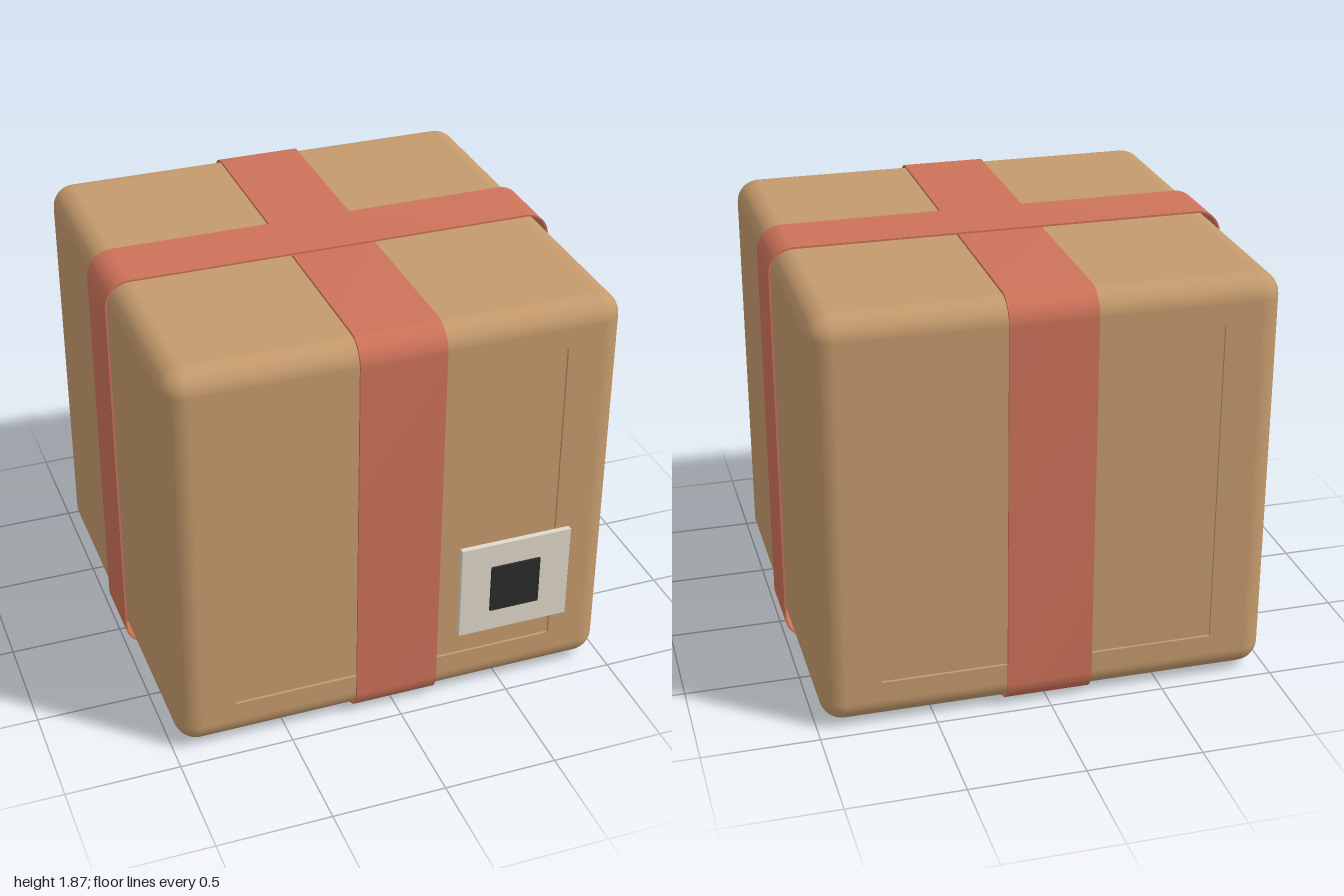
import * as THREE from 'three';
import { RoundedBoxGeometry } from 'three/addons/geometries/RoundedBoxGeometry.js';
import { toCreasedNormals } from 'three/addons/utils/BufferGeometryUtils.js';

const W = 1.956, H = 1.825, D = 1.89, R = 0.1; // carton size and edge radius
const CY = 0.9325, CZ = -0.016;                // carton centre

const material = (color) => new THREE.MeshStandardMaterial({ color });

function add(parent, name, geometry, mat, x = 0, y = 0, z = 0) {
  const mesh = new THREE.Mesh(geometry, mat);
  mesh.name = name;
  mesh.position.set(x, y, z);
  parent.add(mesh);
  return mesh;
}

// Rectangle outline with rounded corners, centred on the origin
function roundedRect(path, w, h, r) {
  const x = w / 2 - r, y = h / 2 - r;
  path.absarc(x, y, r, 0, Math.PI / 2);
  path.absarc(-x, y, r, Math.PI / 2, Math.PI);
  path.absarc(-x, -y, r, Math.PI, Math.PI * 1.5);
  path.absarc(x, -y, r, Math.PI * 1.5, Math.PI * 2);
  path.closePath();
  return path;
}

function rect(path, w, h) {
  path.moveTo(-w / 2, -h / 2);
  path.lineTo(w / 2, -h / 2);
  path.lineTo(w / 2, h / 2);
  path.lineTo(-w / 2, h / 2);
  path.closePath();
  return path;
}

// Rounded box with the flat middles of its front and back left open
function cartonShell() {
  const source = new RoundedBoxGeometry(W, H, D, 6, R).toNonIndexed();
  const pos = source.attributes.position, nor = source.attributes.normal;
  const p = [], n = [], t = new THREE.Triangle();
  for (let i = 0; i < pos.count; i += 3) {
    t.setFromAttributeAndIndices(pos, i, i + 1, i + 2);
    const onEnd = [t.a, t.b, t.c].every((v) => Math.abs(v.z) > D / 2 - 1e-4);
    if (onEnd && t.getArea() > 0.5) continue;
    for (let k = i; k < i + 3; k++) {
      p.push(pos.getX(k), pos.getY(k), pos.getZ(k));
      n.push(nor.getX(k), nor.getY(k), nor.getZ(k));
    }
  }
  const g = new THREE.BufferGeometry();
  g.setAttribute('position', new THREE.Float32BufferAttribute(p, 3));
  g.setAttribute('normal', new THREE.Float32BufferAttribute(n, 3));
  return g;
}

// Closed band of given outer size, running round in the XY plane
function strapGeometry(w, h, width, thickness) {
  const shape = roundedRect(new THREE.Shape(), w, h, 0.11);
  const inner = w - 2 * thickness;
  shape.holes.push(roundedRect(new THREE.Path(), inner, h - 2 * thickness, 0.11 - thickness));
  const g = new THREE.ExtrudeGeometry(shape, { depth: width, bevelEnabled: false, curveSegments: 10 });
  g.translate(0, 0, -width / 2);
  return toCreasedNormals(g, 0.6);
}

export function createModel() {
  const model = new THREE.Group();
  model.name = 'parcel';
  const card = material(0xc49a6c);
  const red = material(0xcd7259);

  // Carton with a shallow recessed panel on front and back
  const carton = new THREE.Group();
  carton.name = 'carton';
  carton.position.set(0, CY, CZ);
  model.add(carton);
  add(carton, 'cartonShell', cartonShell(), card);
  const depth = 0.012;
  const frame = rect(new THREE.Shape(), W - 2 * R, H - 2 * R);
  frame.holes.push(rect(new THREE.Path(), 1.45, 1.45));
  const frameGeometry = new THREE.ExtrudeGeometry(frame, { depth, bevelEnabled: false });
  for (const [side, turn] of [['front', 0], ['back', Math.PI]]) {
    const end = new THREE.Group();
    end.name = side + 'End';
    end.rotation.y = turn;
    carton.add(end);
    add(end, side + 'Frame', frameGeometry, card, 0, 0, D / 2 - depth);
    add(end, side + 'Panel', new THREE.PlaneGeometry(1.45, 1.45), card, 0, 0, D / 2 - depth);
  }

  // Crossing straps
  add(model, 'sideToSideStrap', strapGeometry(2, 1.865, 0.3, 0.008), red, 0, CY, CZ);
  const lengthwise = strapGeometry(1.917, 1.849, 0.37, 0.01);
  add(model, 'frontToBackStrap', lengthwise, red, 0, CY, CZ).rotation.y = Math.PI / 2;

  // Label standing just off the front, with a dark square
  add(model, 'label', new RoundedBoxGeometry(0.508, 0.452, 0.024, 2, 0.004), material(0xe0d8c8), 0.53, 0.55, 0.949);
  add(model, 'labelSquare', new THREE.BoxGeometry(0.226, 0.226, 0.01), material(0x2b2b2b), 0.527, 0.55, 0.969);

  return model;
}
